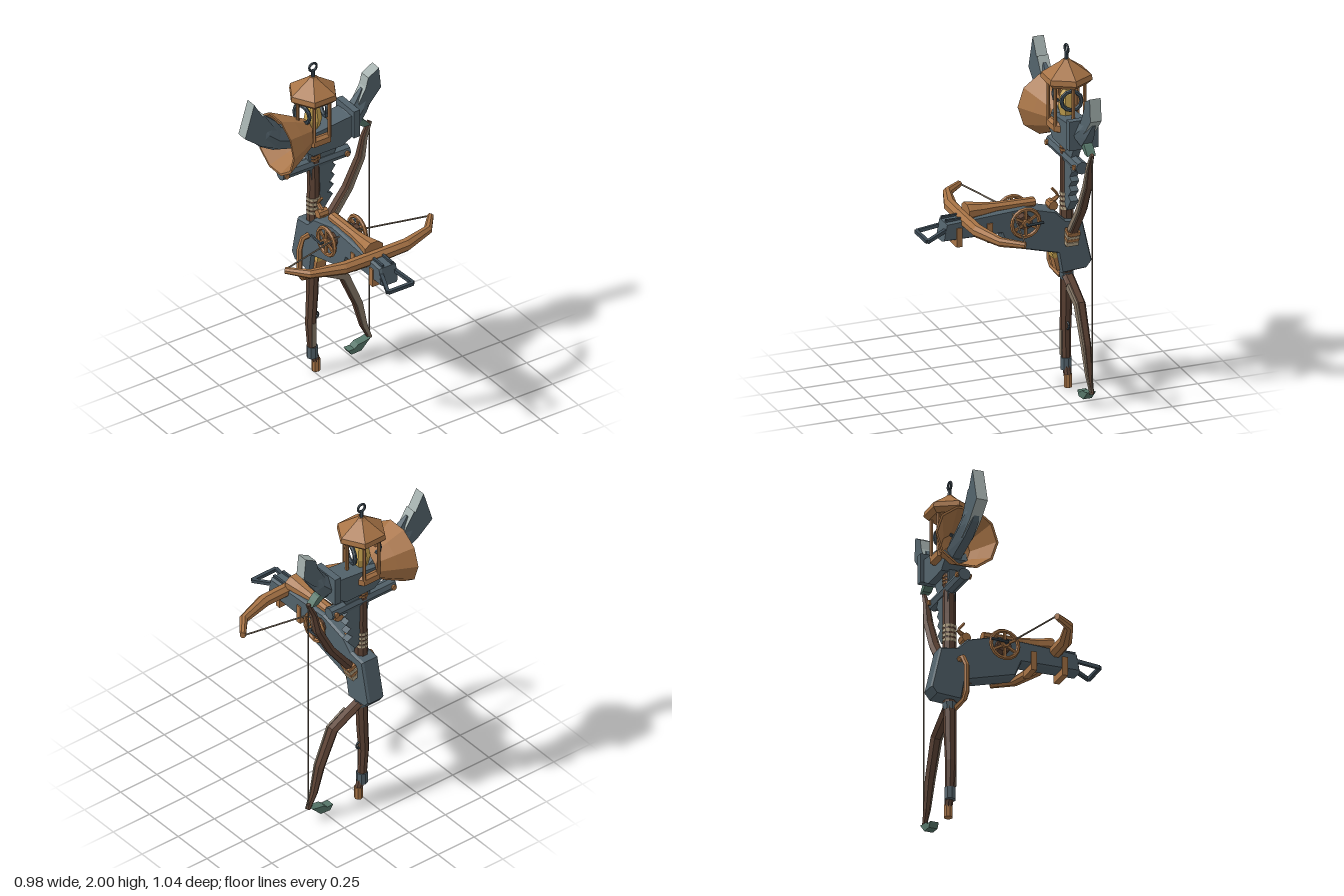
import * as THREE from 'three';

const mat = (name, color) => Object.assign(new THREE.MeshStandardMaterial({ color }), { name });
const Z = -0.335; // depth of the staff axis

export function createModel() {
  const root = new THREE.Group();
  const copper = mat('copper', 0xa87446), steel = mat('steel', 0x53636c), darkSteel = mat('dark steel', 0x3d4b55);
  const pale = mat('pale steel', 0xa3afad), wood = mat('dark wood', 0x5d4335), taupe = mat('worn wood', 0x877968);
  const cord = mat('pale cord', 0xb9a88a), gold = mat('gold', 0xc9a552), teal = mat('teal leaf', 0x557568);

  // Faceted mesh helper
  const add = (name, geo, material, x = 0, y = 0, z = 0) => {
    const g = geo.index ? geo.toNonIndexed() : geo;
    g.computeVertexNormals();
    const m = new THREE.Mesh(g, material);
    m.name = name;
    m.position.set(x, y, z);
    root.add(m);
    return m;
  };
  const box = (name, m, w, h, d, x, y, z) => add(name, new THREE.BoxGeometry(w, h, d), m, x, y, z);
  const cyl = (name, m, rt, rb, h, x, y, z, n = 8) => add(name, new THREE.CylinderGeometry(rt, rb, h, n), m, x, y, z);
  const shapeOf = pts => new THREE.Shape(pts.map(p => new THREE.Vector2(...p)));
  // Flat plate drawn in x/y, centred in depth
  const plate = (name, pts, depth, m, z = Z) =>
    add(name, new THREE.ExtrudeGeometry(shapeOf(pts), { depth, bevelEnabled: false }).translate(0, 0, -depth / 2), m, 0, 0, z);

  // Sweep an n-sided section along points [x, y, z, halfWidth, halfDepth]; B is the fixed depth direction
  const sweep = (name, rows, m, n = 6, B = new THREE.Vector3(0, 0, 1)) => {
    const P = rows.map(r => new THREE.Vector3(r[0], r[1], r[2])), out = [];
    const k = n === 4 ? Math.SQRT2 : 1;
    const rings = P.map((p, i) => {
      const T = P[Math.min(i + 1, P.length - 1)].clone().sub(P[Math.max(i - 1, 0)]).normalize();
      const N = B.clone().cross(T).normalize(), [, , , w, d = w] = rows[i];
      return Array.from({ length: n }, (_, j) => {
        const a = ((j + 0.5) / n) * Math.PI * 2;
        return p.clone().addScaledVector(N, Math.cos(a) * w * k).addScaledVector(B, Math.sin(a) * d * k);
      });
    });
    const tri = (...v) => v.forEach(p => out.push(p.x, p.y, p.z));
    const last = rings.length - 1;
    for (let j = 0; j < n; j++) {
      const q = (j + 1) % n;
      for (let i = 0; i < last; i++) {
        tri(rings[i][j], rings[i][q], rings[i + 1][q]);
        tri(rings[i][j], rings[i + 1][q], rings[i + 1][j]);
      }
      tri(P[0], rings[0][q], rings[0][j]);
      tri(P[last], rings[last][j], rings[last][q]);
    }
    const g = new THREE.BufferGeometry();
    g.setAttribute('position', new THREE.Float32BufferAttribute(out, 3));
    return add(name, g, m);
  };
  const lathe = (pts, n) => new THREE.LatheGeometry(pts.map(p => new THREE.Vector2(...p)), n);
  const UP = new THREE.Vector3(0, 1, 0), SIDE = new THREE.Vector3(1, 0, 0);

  // Staff
  sweep('lowerStaff', [[0.02, 0.06, Z, 0.022], [-0.005, 0.14, Z, 0.026], [-0.015, 0.32, Z, 0.031], [-0.005, 0.5, Z, 0.034], [0, 0.7, Z, 0.036]], wood, 8);
  sweep('upperStaff', [[0, 0.92, Z, 0.037], [0.004, 1.2, Z, 0.037], [0, 1.48, Z, 0.035]], wood, 8);
  cyl('ferrule', copper, 0.024, 0.024, 0.075, 0.02, 0.0375, Z);
  cyl('lowerBand', steel, 0.032, 0.032, 0.07, -0.004, 0.13, Z);
  cyl('staffCollar', steel, 0.042, 0.038, 0.04, 0, 0.65, Z);
  add('staffRing', new THREE.TorusGeometry(0.02, 0.006, 5, 10), darkSteel, 0.016, 0.355, Z);
  box('staffInlay', taupe, 0.026, 0.15, 0.01, -0.011, 0.25, Z + 0.026);
  // Cord and copper wraps lying close to the staff
  for (const [y0, step, n, m, h] of [[1.385, 0.02, 3, copper, 0.01], [1.045, 0.028, 4, cord, 0.016]])
    for (let i = 0; i < n; i++)
      cyl('staffWrap', m, 0.04, 0.04, h, 0.003, y0 + i * step, Z, 10).rotation.z = 0.1;

  // Crossbar with rivets
  cyl('crossbar', steel, 0.036, 0.036, 0.44, 0.005, 1.353, Z).rotation.z = Math.PI / 2;
  for (const x of [-0.195, 0.2])
    cyl('rivet', copper, 0.016, 0.016, 0.088, x, 1.353, Z).rotation.x = Math.PI / 2;

  // Serrated blade down the staff
  const teeth = [[-0.05, 1.45], [0, 1.1], [0.06, 1.05]];
  for (let i = 0; i < 5; i++) teeth.push([0.115 + i * 0.006, 1.12 + i * 0.06], [0.08 + i * 0.011, 1.14 + i * 0.06]);
  teeth.push([0.145, 1.42], [0.17, 1.47]);
  plate('serratedBlade', teeth, 0.045, steel);

  // Head block and horn-like blades with pale edges
  plate('headBlock', [[-0.1, 1.49], [-0.04, 1.44], [0.15, 1.44], [0.22, 1.48], [0.22, 1.61], [-0.06, 1.58]], 0.13, steel);
  box('headFlange', steel, 0.04, 0.17, 0.17, 0.23, 1.56, Z);
  sweep('rightBladeBase', [[-0.03, 1.53, Z, 0.06, 0.05], [-0.25, 1.61, Z, 0.078, 0.048], [-0.31, 1.66, Z, 0.095, 0.04], [-0.365, 1.72, Z, 0.085, 0.015]], steel, 6);
  plate('rightBladeTip', [[-0.25, 1.66], [-0.34, 1.8], [-0.348, 1.79], [-0.405, 1.89], [-0.465, 1.69], [-0.36, 1.605], [-0.25, 1.55]], 0.065, [steel, pale]);
  sweep('leftBladeBase', [[0.24, 1.555, Z, 0.075, 0.06], [0.295, 1.605, Z, 0.062, 0.047], [0.355, 1.69, Z, 0.057, 0.018]], steel, 6);
  plate('leftBladeTip', [[0.29, 1.565], [0.36, 1.63], [0.423, 1.7], [0.41, 1.83], [0.34, 1.79], [0.325, 1.73], [0.28, 1.65]], 0.065, [steel, pale]);

  // Bell horn opening toward -x
  const bell = add('bellHorn', lathe([[0.08, 0.04], [0.1, 0.08], [0.135, 0.145], [0.185, 0.247], [0.172, 0.247], [0.12, 0.145], [0.085, 0.08], [0, 0.06]], 10), copper, 0, 1.56, Z);
  bell.rotation.z = Math.PI / 2;

  // Lantern
  const hex = (name, pts) => { add(name, lathe(pts, 6), copper, 0, 0, Z).rotation.y = Math.PI / 6; };
  hex('lanternRoof', [[0, 1.77], [0.115, 1.77], [0.143, 1.795], [0.138, 1.825], [0.035, 1.895], [0.02, 1.91], [0, 1.91]]);
  hex('lanternBase', [[0, 1.45], [0.045, 1.45], [0.07, 1.5], [0.108, 1.515], [0.108, 1.55], [0.09, 1.565], [0, 1.565]]);
  for (let i = 0; i < 6; i++) {
    const a = (i * Math.PI) / 3;
    cyl('lanternPost', copper, 0.01, 0.01, 0.24, Math.cos(a) * 0.1, 1.665, Z + Math.sin(a) * 0.1, 6);
  }
  add('flame', lathe([[0, 1.56], [0.035, 1.58], [0.05, 1.64], [0.038, 1.71], [0, 1.77]], 6), gold, 0, 0, Z);
  for (const s of [-1, 1])
    add('lanternHoop', new THREE.TorusGeometry(0.055, 0.012, 6, 12), darkSteel, s * 0.072, 1.69, Z).rotation.y = Math.PI / 2 - s * 0.25;
  cyl('hangerStem', darkSteel, 0.01, 0.012, 0.05, 0, 1.925, Z, 6);
  add('hangerRing', new THREE.TorusGeometry(0.024, 0.007, 6, 14), darkSteel, 0, 1.969, Z);

  // Side bow
  const limbs = [
    [[0.06, 0.86, Z, 0.026, 0.034], [0.1, 0.95, Z, 0.028, 0.034], [0.22, 1.11, Z, 0.026, 0.032], [0.305, 1.28, Z, 0.024, 0.028], [0.33, 1.4, Z, 0.018, 0.02], [0.367, 1.485, Z, 0.012, 0.012]],
    [[0.01, 0.655, Z, 0.024, 0.034], [0.08, 0.615, Z, 0.029, 0.034], [0.195, 0.55, Z, 0.029, 0.032], [0.285, 0.34, Z, 0.026, 0.028], [0.325, 0.18, Z, 0.019, 0.02], [0.367, 0.085, Z, 0.012, 0.012]],
  ];
  limbs.forEach((rows, i) => {
    sweep('bowLimb', rows, wood, 6);
    sweep('bowLimbFace', rows.slice(1).map(([x, y, z, w, d]) => [x + 0.005, y, z + d * 0.84, w * (0.5 + i * 0.2), d * 0.18]), taupe, 4);
  });
  sweep('bowString', [[0.369, 0.085, Z, 0.003], [0.369, 1.485, Z, 0.003]], taupe, 4);
  for (const [x, y, h, m] of [[0.064, 0.865, 0.024, cord], [0.072, 0.89, 0.018, copper], [0.08, 0.908, 0.016, cord], [0.09, 0.932, 0.022, copper]])
    box('gripBand', m, 0.054, h, 0.07, x, y, Z).rotation.z = -0.35;
  // Leaves at the bow tips
  plate('upperLeaf', [[0.36, 1.475], [0.32, 1.475], [0.285, 1.5], [0.25, 1.505], [0.27, 1.535], [0.315, 1.525], [0.34, 1.5]], 0.05, teal);
  plate('lowerLeaf', [[0.36, 0.095], [0.32, 0.085], [0.28, 0.08], [0.255, 0.06], [0.215, 0.06], [0.235, 0.03], [0.3, 0.035], [0.335, 0.07]], 0.05, teal);

  // Crossbow stock, drawn as a z/y profile
  const stock = new THREE.ExtrudeGeometry(shapeOf([
    [0.41, 0.97], [0.39, 1.075], [-0.07, 1.1], [-0.25, 1.05], [-0.31, 0.99], [-0.41, 0.975], [-0.465, 0.73],
    [-0.434, 0.69], [-0.286, 0.68], [-0.265, 0.8], [0.03, 0.88], [0.065, 0.967],
  ]), { depth: 0.084, bevelThickness: 0.013, bevelSize: 0.008, bevelOffset: -0.008, bevelSegments: 1 });
  add('stock', stock.translate(0, 0, -0.042).rotateY(-Math.PI / 2), steel);
  for (const x of [-0.03, 0.03]) box('noseRail', darkSteel, 0.014, 0.02, 0.09, x, 1.08, 0.34);
  for (const z of [0.135, 0.315]) box('stockBand', copper, 0.124, 0.11, 0.032, 0, 0.985, z);
  // Wedge pad and cap under the stock
  box('bellyPad', copper, 0.066, 0.085, 0.024, 0, 0.735, -0.268).rotation.x = 0.25;
  box('bellyPadCap', gold, 0.068, 0.03, 0.026, 0, 0.783, -0.254).rotation.x = 0.25;

  // Flared barrel on top
  sweep('flaredBarrel', [[0, 1.105, -0.145, 0.032, 0.026], [0, 1.107, 0.08, 0.032, 0.028], [0, 1.105, 0.17, 0.043, 0.04], [0, 1.11, 0.24, 0.06, 0.049], [0, 1.11, 0.255, 0.064, 0.049]], copper, 8, UP);

  // Crossbow prod and string
  const half = [[0.2, 1.068, 0.262, 0.037, 0.037], [0.385, 1.066, 0.205, 0.025, 0.027], [0.475, 1.064, 0.098, 0.018, 0.019]];
  const mirrored = half.map(([x, ...r]) => [-x, ...r]).reverse();
  sweep('crossbowProd', [...mirrored, [0, 1.068, 0.266, 0.038, 0.04], ...half], copper, 8, UP);
  for (const s of [-1, 1])
    sweep('crossbowString', [[s * 0.465, 1.065, 0.092, 0.005], [s * 0.03, 1.075, -0.005, 0.005]], taupe, 5, UP);

  // Foot stirrup
  const foot = [[0.042, 1.035, 0.385], [0.082, 1, 0.51], [-0.082, 1, 0.51], [-0.042, 1.035, 0.385]];
  for (let i = 0; i < 4; i++)
    sweep('stirrup', [[...foot[i], 0.01], [...foot[(i + 1) % 4], 0.01]], darkSteel, 4, UP);

  // Winch: drum, spoked wheels and cranks
  cyl('winchDrum', wood, 0.042, 0.042, 0.2, 0, 1.03, -0.055, 8).rotation.z = Math.PI / 2;
  for (const s of [-1, 1]) {
    add('wheelRim', new THREE.TorusGeometry(0.08, 0.012, 6, 16), copper, s * 0.102, 1.03, -0.055).rotation.y = Math.PI / 2;
    cyl('wheelHub', copper, 0.022, 0.022, 0.035, s * 0.104, 1.03, -0.055).rotation.z = Math.PI / 2;
    for (let i = 0; i < 3; i++)
      box('wheelSpoke', copper, 0.012, 0.155, 0.014, s * 0.102, 1.03, -0.055).rotation.x = (i * Math.PI) / 3;
    sweep('crankArm', [[s * 0.11, 1.03, -0.055, 0.008], [s * 0.143, 1.03, -0.055, 0.008]], darkSteel, 6, UP);
    sweep('crankHandle', [[s * 0.141, 1.03, -0.047, 0.008], [s * 0.141, 1.035, -0.145, 0.008]], darkSteel, 6, SIDE);
  }

  // Cocking lever, side guard and trigger
  sweep('cockingLever', [[0, 1.05, -0.235, 0.016], [0, 1.09, -0.25, 0.015], [0, 1.115, -0.285, 0.011], [0, 1.135, -0.275, 0.009], [0, 1.165, -0.25, 0.008]], copper, 6, SIDE);
  cyl('leverPivot', copper, 0.027, 0.027, 0.06, 0, 1.072, -0.248).rotation.z = Math.PI / 2;
  sweep('sideGuard', [[-0.04, 0.92, -0.3, 0.017], [-0.095, 0.915, -0.295, 0.016], [-0.121, 0.86, -0.285, 0.016], [-0.121, 0.7, -0.285, 0.016], [-0.1, 0.665, -0.29, 0.016], [-0.02, 0.64, -0.31, 0.016]], copper, 6);
  sweep('trigger', [[0, 0.86, -0.19, 0.012], [0, 0.82, -0.215, 0.011], [0, 0.805, -0.245, 0.008]], copper, 6, SIDE);
  return root;
}
